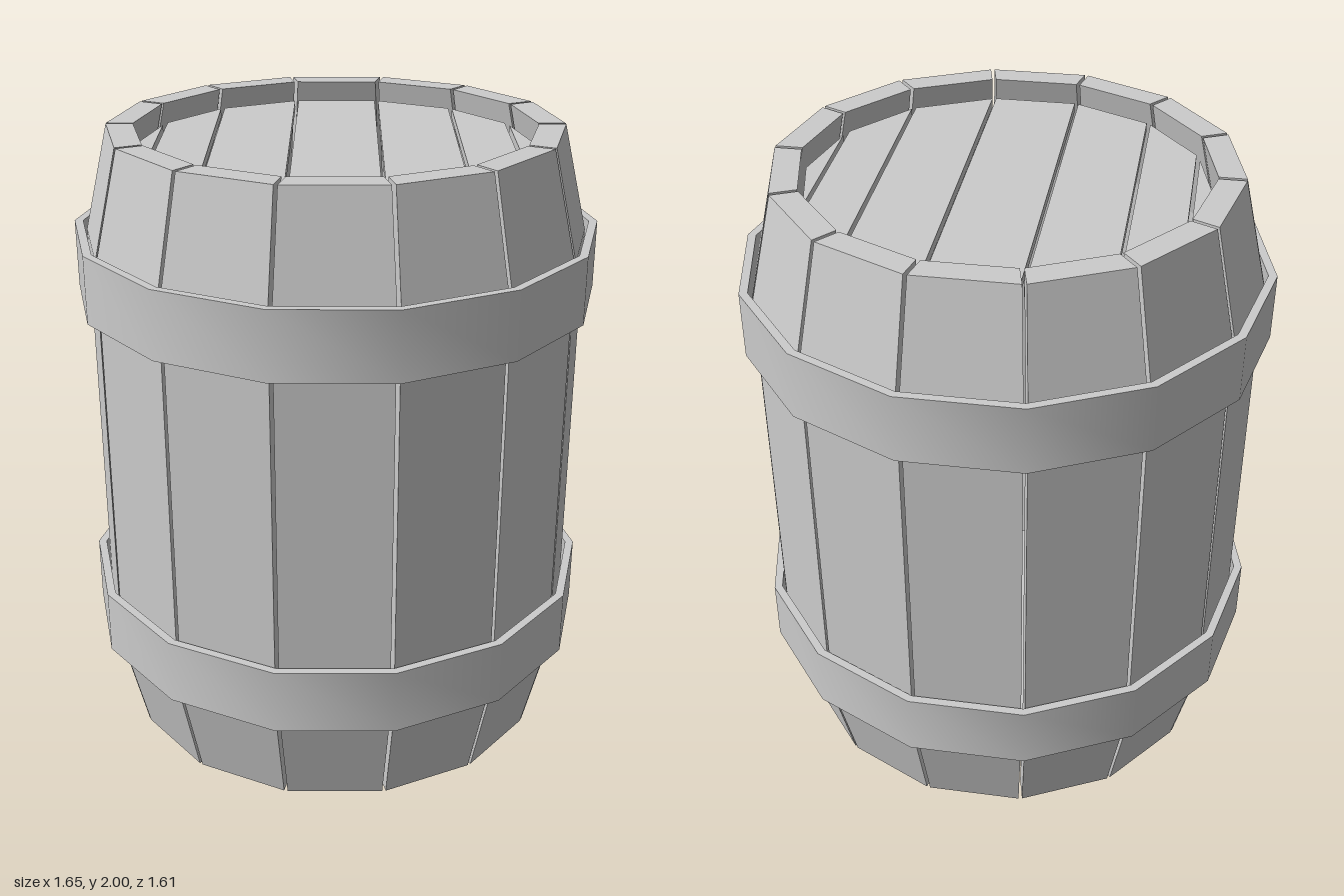
import * as THREE from 'three';
import { toCreasedNormals } from 'three/addons/utils/BufferGeometryUtils.js';

const SIDES = 14;
const STEP = (Math.PI * 2) / SIDES;
const GAP = 0.006; // half the gap between neighbouring boards

const wood = new THREE.MeshStandardMaterial({ color: 0xcccccc, flatShading: true });
const hoopMaterial = new THREE.MeshStandardMaterial({ color: 0xcccccc });

// One bent board facing +z: a box whose rows follow the barrel's belly
function staveGeometry() {
  const rows = [
    { y: 0, outer: 0.692, inner: 0.61 },
    { y: 0.335, outer: 0.77, inner: 0.688 },
    { y: 1.665, outer: 0.77, inner: 0.688 },
    { y: 2, outer: 0.692, inner: 0.61 },
  ];
  const geo = new THREE.BoxGeometry(2, 3, 2, 1, 3, 1);
  const p = geo.attributes.position;
  for (let i = 0; i < p.count; i++) {
    const row = rows[Math.round(p.getY(i) + 1.5)];
    const z = p.getZ(i) > 0 ? row.outer : row.inner;
    p.setXYZ(i, Math.sign(p.getX(i)) * (z * Math.tan(STEP / 2) - GAP), row.y, z);
  }
  const flat = geo.toNonIndexed();
  flat.computeVertexNormals();
  return flat;
}

// Hoop: square-section ring, smooth around and sharp at its rims
function hoopGeometry(y0, y1) {
  const inner = 0.8, outer = 0.827;
  const profile = [[outer, y0], [outer, y1], [inner, y1], [inner, y0], [outer, y0]]
    .map(([r, y]) => new THREE.Vector2(r, y));
  return toCreasedNormals(new THREE.LatheGeometry(profile, SIDES, Math.PI / 2), 0.7);
}

// Round lid sawn into straight planks at the polygon's corners
function createLid(name, y0, thickness) {
  const lid = new THREE.Group();
  lid.name = name;
  const R = 0.617;
  for (let i = 0; i < SIDES / 2; i++) {
    const a = Math.PI - i * STEP, b = a - STEP;
    const x0 = R * Math.cos(a), x1 = R * Math.cos(b);
    const z0 = R * Math.sin(a), z1 = R * Math.sin(b);
    const halfAt = (x) => Math.max(0.001, z0 + ((z1 - z0) * (x - x0)) / (x1 - x0));
    const l = i === 0 ? x0 : x0 + GAP;
    const r = i === SIDES / 2 - 1 ? x1 : x1 - GAP;
    const shape = new THREE.Shape([
      new THREE.Vector2(l, -halfAt(l)),
      new THREE.Vector2(r, -halfAt(r)),
      new THREE.Vector2(r, halfAt(r)),
      new THREE.Vector2(l, halfAt(l)),
    ]);
    const geo = new THREE.ExtrudeGeometry(shape, { depth: thickness, bevelEnabled: false });
    geo.rotateX(-Math.PI / 2);
    const plank = new THREE.Mesh(geo, wood);
    plank.name = 'lidPlank';
    plank.position.y = y0;
    lid.add(plank);
  }
  return lid;
}

export function createModel() {
  const barrel = new THREE.Group();
  barrel.name = 'barrel';

  // Ring of staves
  const staves = new THREE.Group();
  staves.name = 'staves';
  const geo = staveGeometry();
  for (let i = 0; i < SIDES; i++) {
    const stave = new THREE.Mesh(geo, wood);
    stave.name = 'stave';
    stave.rotation.y = i * STEP;
    staves.add(stave);
  }
  barrel.add(staves);

  // Two hoops
  for (const [name, y0, y1] of [['lowerHoop', 0.32, 0.53], ['upperHoop', 1.475, 1.69]]) {
    const hoop = new THREE.Mesh(hoopGeometry(y0, y1), hoopMaterial);
    hoop.name = name;
    barrel.add(hoop);
  }

  // Recessed lids at both ends
  barrel.add(createLid('bottomLid', 0.055, 0.03), createLid('topLid', 1.907, 0.03));
  return barrel;
}
